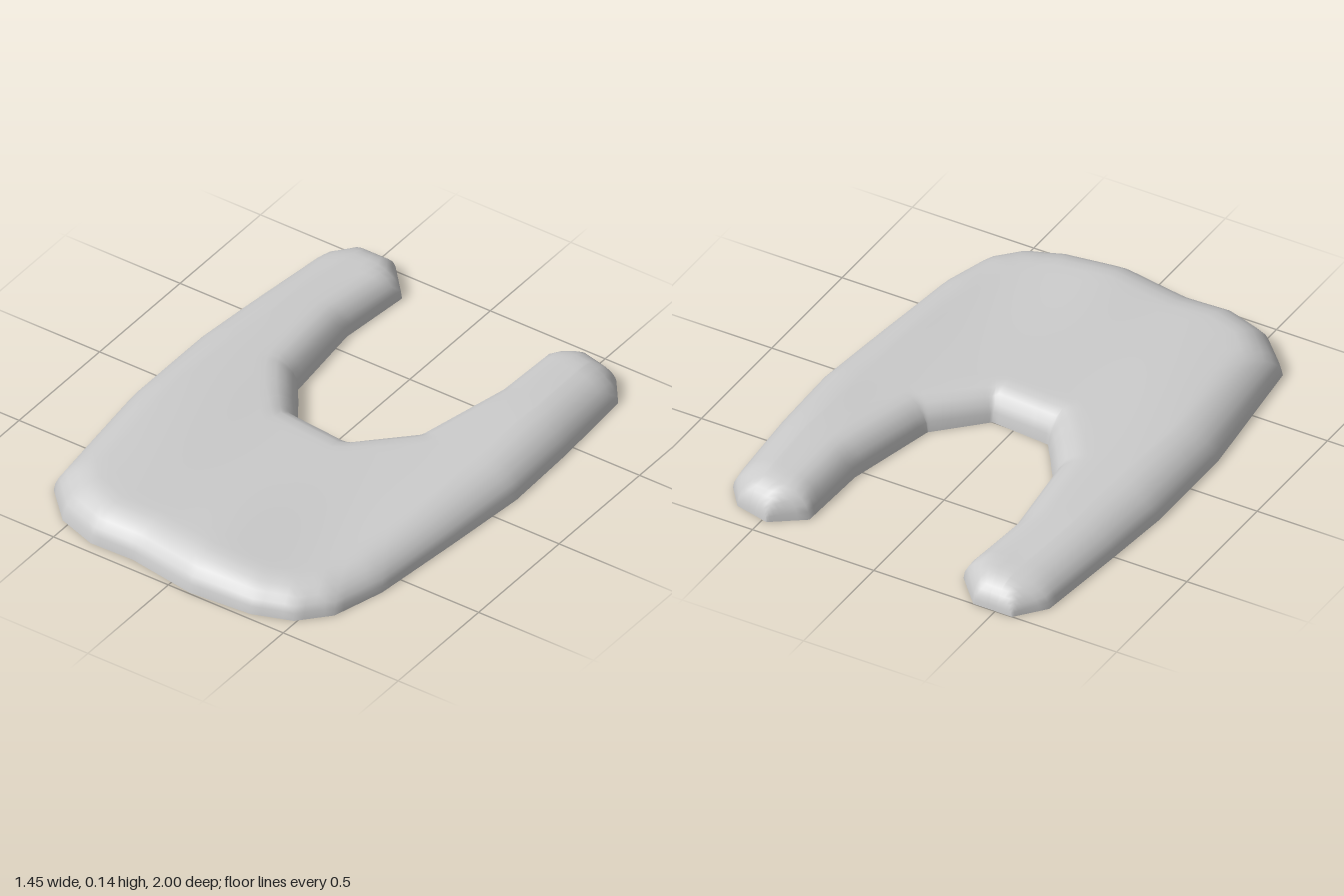
import * as THREE from 'three';

// Ribs across the U-shaped pad: [outer x, outer z, inner x, inner z],
// running from the right prong tip, around the front, to the left prong tip.
const ribs = [
  [-0.57, -1, -0.41, -1], [-0.66, -0.89, -0.3, -0.88], [-0.7, -0.5, -0.33, -0.58],
  [-0.725, -0.22, -0.29, -0.22], [-0.725, 0.2, -0.24, -0.15], [-0.66, 0.77, -0.2, -0.09],
  [-0.53, 0.9, -0.17, -0.05], [-0.37, 0.955, -0.15, -0.02], [-0.19, 0.95, -0.08, -0.014],
  [0.09, 0.995, 0.09, 0], [0.34, 0.975, 0.14, -0.05], [0.49, 0.92, 0.17, -0.08],
  [0.59, 0.81, 0.2, -0.11], [0.65, 0.6, 0.22, -0.13], [0.69, 0.23, 0.24, -0.15],
  [0.725, -0.13, 0.26, -0.17], [0.715, -0.45, 0.345, -0.54], [0.69, -0.81, 0.355, -0.845],
  [0.62, -0.9, 0.48, -0.935],
];

const outer = ribs.map((r) => new THREE.Vector3(r[0], 0, r[1]));
const inner = ribs.map((r) => new THREE.Vector3(r[2], 0, r[3]));

// Outline segments, each with the radius of its rounded edge
const edges = [];
const addEdge = (a, b, radius) => edges.push({ line: new THREE.Line3(a, b), radius });
for (let i = 0; i < ribs.length - 1; i++) {
  addEdge(outer[i], outer[i + 1], 0.15);
  addEdge(inner[i], inner[i + 1], 0.1);
}
addEdge(outer[0], inner[0], 0.13);
addEdge(outer.at(-1), inner.at(-1), 0.13);

// Gentle swells and dips of the top surface
const bump = (x, z, cx, cz, sx, sz) => Math.exp(-(((x - cx) / sx) ** 2) - ((z - cz) / sz) ** 2);
function crown(x, z) {
  return 0.118 + 0.022 * bump(x, z, -0.45, 0.3, 0.25, 0.6)
    + 0.008 * bump(x, z, 0.08, 0.8, 0.15, 0.3)
    + 0.012 * bump(x, z, 0.58, -0.45, 0.2, 0.3)
    - 0.018 * bump(x, z, 0.42, 0.6, 0.22, 0.5)
    - 0.012 * bump(x, z, -0.48, -0.9, 0.3, 0.3);
}

// Height rises from the outline along a quarter ellipse
const nearest = new THREE.Vector3();
function height(p) {
  let rise = 1;
  for (const { line, radius } of edges) {
    line.closestPointToPoint(p, true, nearest);
    const t = Math.min(1, nearest.distanceTo(p) / radius);
    rise = Math.min(rise, t);
  }
  return crown(p.x, p.z) * Math.sqrt(1 - (1 - rise) ** 2);
}

// Sample distances in from each edge, then an even middle
const insets = [0, 0.006, 0.02, 0.045, 0.08, 0.12, 0.16];
function ribFractions(width) {
  const k = Math.min(1, (0.4 * width) / 0.16);
  const f = insets.map((d) => (d * k) / width);
  const last = f.at(-1);
  const middle = [];
  for (let j = 1; j < 12; j++) middle.push(last + ((1 - 2 * last) * j) / 12);
  return [...f, ...middle, ...f.map((v) => 1 - v).reverse()];
}

function padGeometry() {
  const positions = [], index = [];
  let rows = 0, columns = 0;
  const addRow = (a, b) => {
    const fractions = ribFractions(a.distanceTo(b));
    columns = fractions.length;
    for (const f of fractions) {
      const p = a.clone().lerp(b, f);
      positions.push(p.x, height(p), p.z);
    }
    rows++;
  };
  const count = ribs.length - 1;
  for (let i = 0; i < count; i++) {
    const span = Math.max(outer[i].distanceTo(outer[i + 1]), inner[i].distanceTo(inner[i + 1]));
    const atTip = i === 0 || i === count - 1;
    const steps = atTip ? 7 : Math.ceil(span / 0.045);
    for (let s = 0; s < steps; s++) {
      let t = s / steps;
      if (i === 0) t = t * t;
      if (i === count - 1) t = 1 - (1 - t) ** 2;
      addRow(outer[i].clone().lerp(outer[i + 1], t), inner[i].clone().lerp(inner[i + 1], t));
    }
  }
  addRow(outer[count], inner[count]);

  for (let i = 0; i < rows - 1; i++) {
    for (let j = 0; j < columns - 1; j++) {
      const a = i * columns + j, b = a + columns;
      index.push(a, b, a + 1, b, b + 1, a + 1);
    }
  }
  const geometry = new THREE.BufferGeometry();
  geometry.setAttribute('position', new THREE.Float32BufferAttribute(positions, 3));
  geometry.setIndex(index);
  geometry.computeVertexNormals();
  return geometry;
}

export function createModel() {
  const group = new THREE.Group();
  group.name = 'model';
  // Hollow shell, open underneath
  const material = new THREE.MeshStandardMaterial({ color: 0xcccccc, side: THREE.DoubleSide });
  const pad = new THREE.Mesh(padGeometry(), material);
  pad.name = 'forkedPad';
  group.add(pad);
  return group;
}
